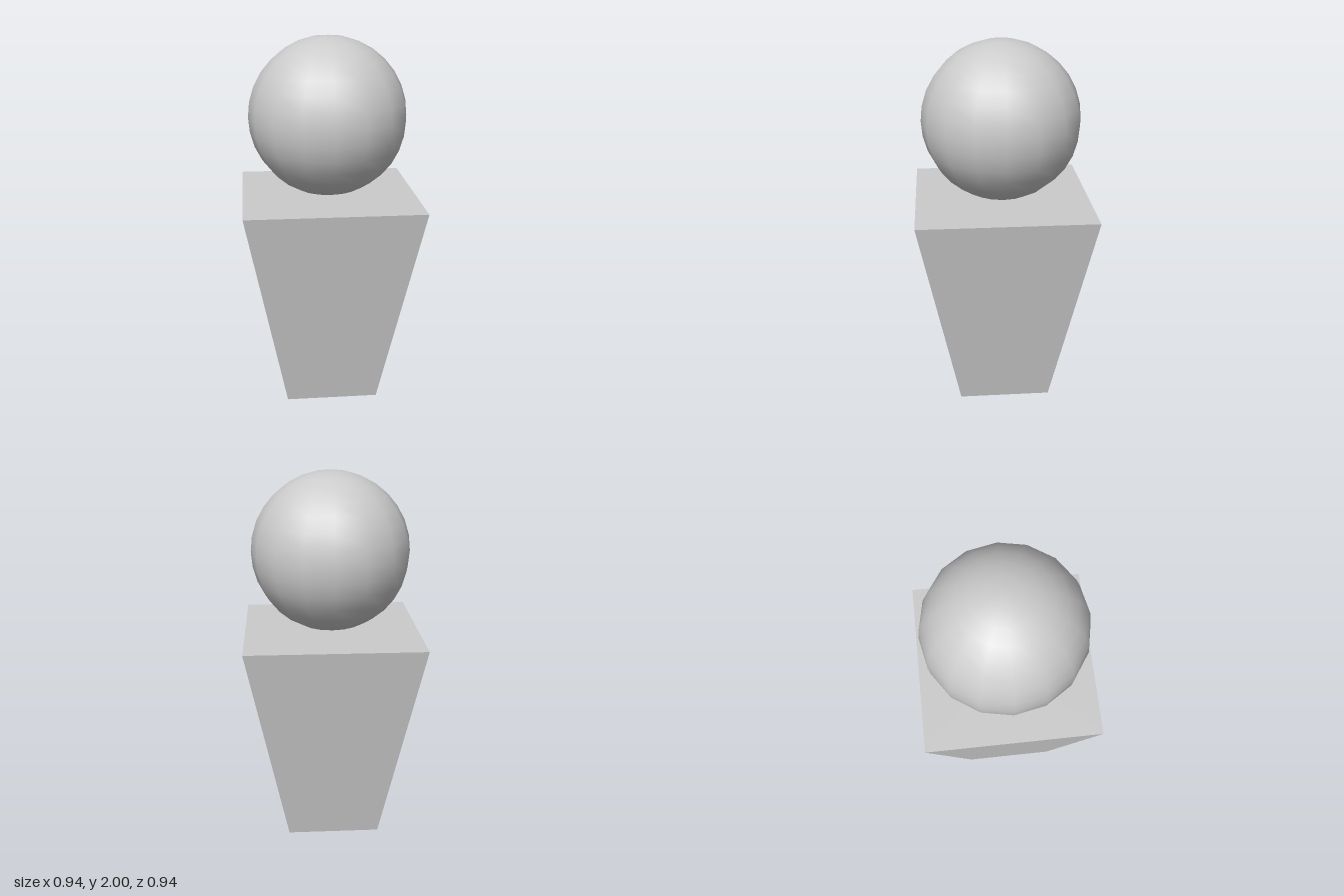
import * as THREE from 'three';

export function createModel() {
  const group = new THREE.Group();
  const material = new THREE.MeshStandardMaterial({ color: 0xcccccc });

  // Square body, narrowing towards the foot
  const height = 1.147, topHalf = 0.471, bottomHalf = 0.251;
  const bodyGeometry = new THREE.CylinderGeometry(
    topHalf * Math.SQRT2, bottomHalf * Math.SQRT2, height, 4, 1, false, Math.PI / 4
  ).toNonIndexed();
  bodyGeometry.computeVertexNormals(); // flat sides
  const body = new THREE.Mesh(bodyGeometry, material);
  body.name = 'body';
  body.position.y = height / 2;
  group.add(body);

  // Round head resting on the body
  const radius = 0.429;
  const head = new THREE.Mesh(new THREE.SphereGeometry(radius, 16, 16), material);
  head.name = 'head';
  head.position.y = 2 - radius;
  group.add(head);

  return group;
}
